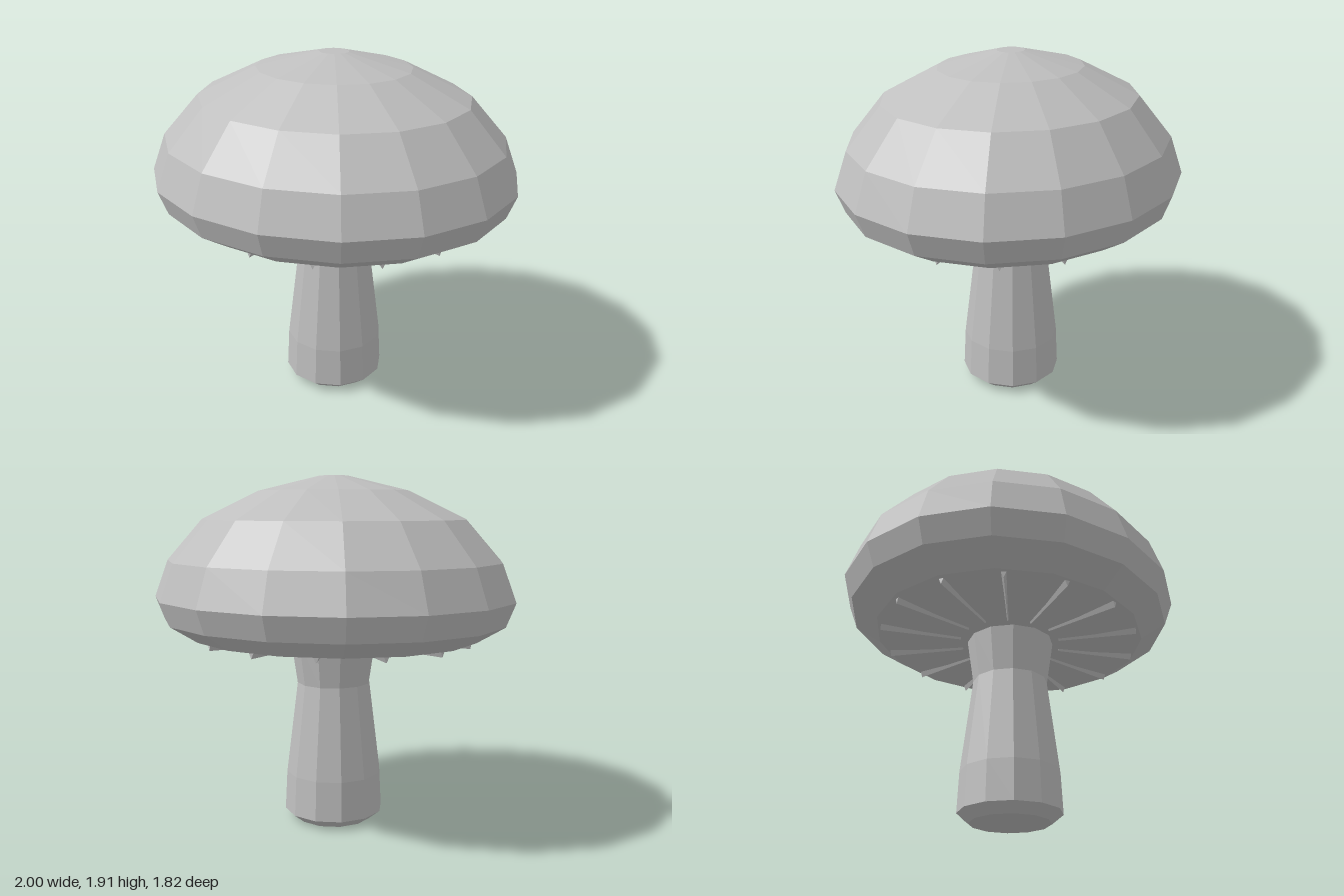
import * as THREE from 'three';

const CAP_DEPTH = 0.908; // the cap is slightly oval, narrower front to back

export function createModel() {
  const model = new THREE.Group();
  model.name = 'mushroom';

  const grey = new THREE.MeshStandardMaterial({ color: 0xbfbfbf, flatShading: true });
  grey.name = 'plain grey';

  // Faceted solid of revolution from [radius, height] pairs, bottom to top
  const turned = (name, profile, sides) => {
    const points = profile.map(([r, y]) => new THREE.Vector2(r, y));
    const mesh = new THREE.Mesh(new THREE.LatheGeometry(points, sides), grey);
    mesh.name = name;
    return mesh;
  };

  // Stem: chamfered foot, waist, flared top
  model.add(turned('stem', [
    [0, 0], [0.215, 0], [0.277, 0.05], [0.266, 0.27], [0.203, 0.78], [0.24, 1.03],
  ], 12));

  // Oval cap assembly
  const cap = new THREE.Group();
  cap.name = 'cap';
  cap.scale.z = CAP_DEPTH;
  model.add(cap);

  cap.add(turned('capUnderside', [
    [0, 1.02], [0.25, 1.02], [0.53, 1.026], [0.8, 1.042], [0.95, 1.132], [1, 1.26],
  ], 16));
  cap.add(turned('capDome', [
    [1, 1.26], [0.925, 1.46], [0.73, 1.68], [0.415, 1.832], [0.08, 1.912], [0, 1.912],
  ], 16));

  // Gills: thin V-section ribs radiating under the cap
  const section = new THREE.Shape([
    new THREE.Vector2(0, 1.01), new THREE.Vector2(0.016, 1.044), new THREE.Vector2(-0.016, 1.044),
  ]);
  const gillGeometry = new THREE.ExtrudeGeometry(section, { depth: 0.47, bevelEnabled: false });
  gillGeometry.translate(0, 0, 0.3);
  const gillCount = 14;
  for (let i = 0; i < gillCount; i++) {
    const gill = new THREE.Mesh(gillGeometry, grey);
    gill.name = 'gill';
    gill.rotation.y = Math.PI / 2 + (i / gillCount) * Math.PI * 2;
    cap.add(gill);
  }

  return model;
}
